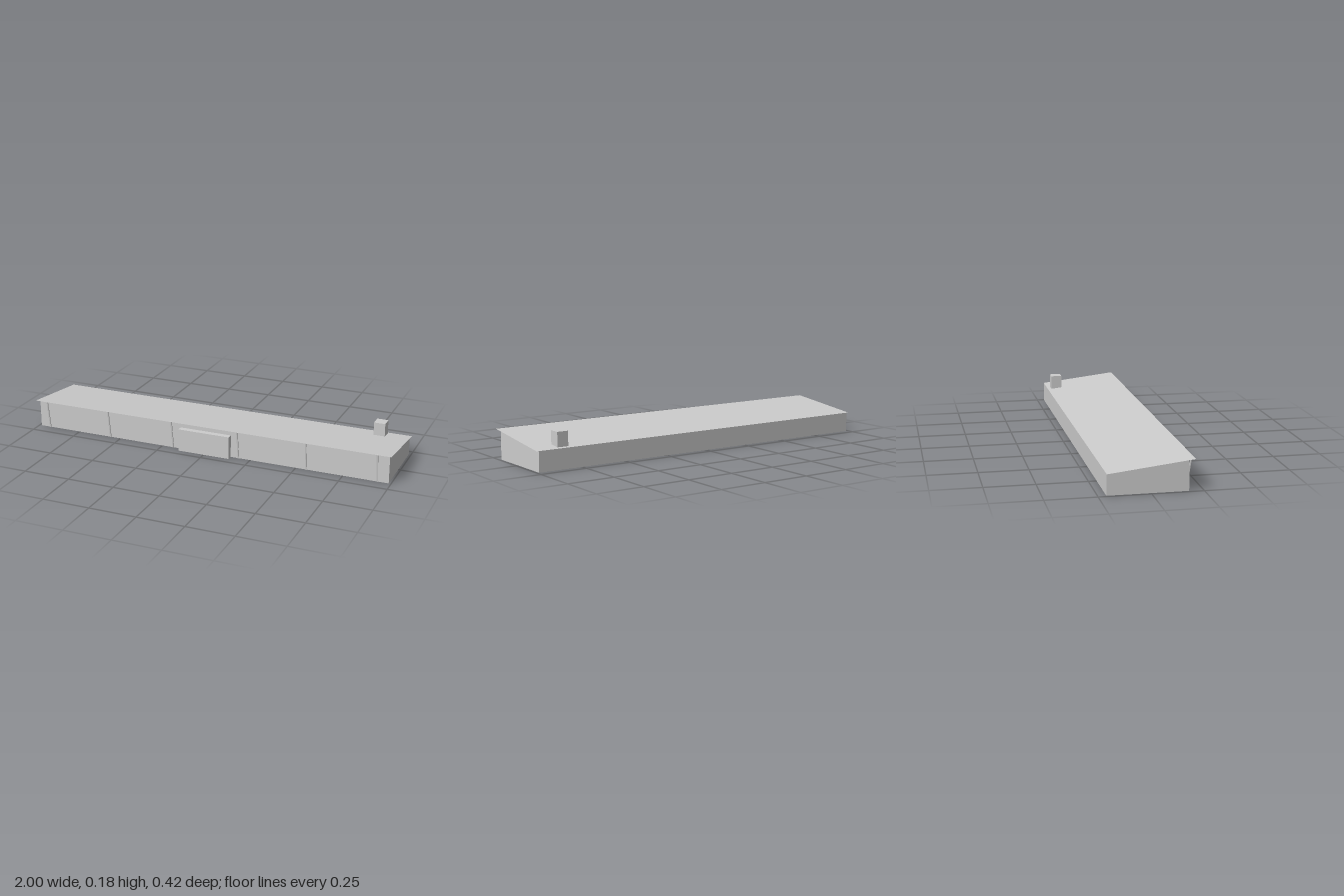
import * as THREE from 'three';

export function createModel() {
  const group = new THREE.Group();
  const grey = new THREE.MeshStandardMaterial({ color: 0xcccccc, side: THREE.DoubleSide });
  grey.name = 'light grey';

  const add = (name, geometry, x = 0, y = 0, z = 0) => {
    const mesh = new THREE.Mesh(geometry, grey);
    mesh.name = name;
    mesh.position.set(x, y, z);
    group.add(mesh);
    return mesh;
  };

  // four-cornered panel, corners counter-clockwise seen from outside
  const panel = (name, a, b, c, d) => {
    const g = new THREE.BufferGeometry();
    g.setAttribute('position', new THREE.Float32BufferAttribute([a, b, c, a, c, d].flat(), 3));
    g.computeVertexNormals();
    return add(name, g);
  };

  const W = 0.988, front = 0.18, back = -0.21, eave = 0.208;
  const roofY = z => 0.105 + (z - back) * 0.118; // single slope, rising to the front
  const yF = roofY(front), yB = roofY(back), yE = roofY(eave);

  // open-bottomed shell of walls
  panel('frontWall', [-W, 0, front], [W, 0, front], [W, yF, front], [-W, yF, front]);
  panel('backWall', [W, 0, back], [-W, 0, back], [-W, yB, back], [W, yB, back]);
  panel('leftWall', [W, 0, front], [W, 0, back], [W, yB, back], [W, yF, front]);
  panel('rightWall', [-W, 0, back], [-W, 0, front], [-W, yF, front], [-W, yB, back]);

  // thin roof overhanging the front and both ends
  panel('roof', [-1, yE, eave], [1, yE, eave], [1, yB, back], [-1, yB, back]);

  // entrance block
  add('entrance', new THREE.BoxGeometry(0.284, 0.121, 0.03), 0, 0.0605, 0.195);

  // chimney standing through the roof
  add('chimney', new THREE.BoxGeometry(0.06, 0.183, 0.06), 0.845, 0.0915, -0.16);

  // slanted struts holding the front eave
  for (let i = 0; i < 6; i++) {
    const strut = add('strut', new THREE.BoxGeometry(0.007, 0.155, 0.005), -0.93 + i * 0.372, 0.0775, 0.1935);
    strut.rotation.x = 0.148;
  }
  return group;
}
